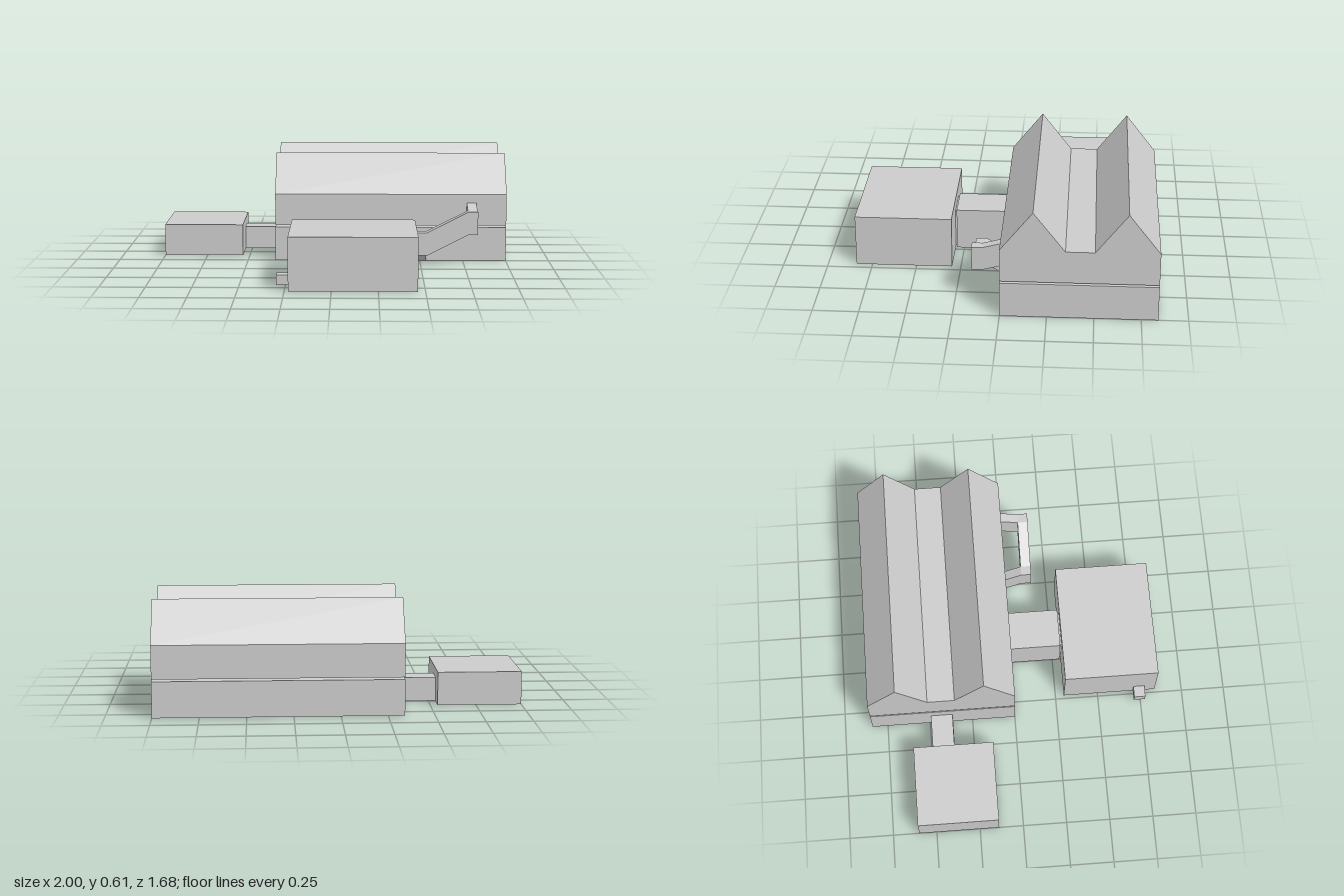
import * as THREE from 'three';

export function createModel() {
  const model = new THREE.Group();
  const material = new THREE.MeshStandardMaterial({ color: 0xcccccc, flatShading: true });

  function add(name, geometry) {
    const mesh = new THREE.Mesh(geometry, material);
    mesh.name = name;
    model.add(mesh);
  }

  // Box from ranges; lift(x, z) raises each corner to make sloped passages
  function block(name, [x0, x1], [y0, y1], [z0, z1], lift) {
    const g = new THREE.BoxGeometry(x1 - x0, y1 - y0, z1 - z0);
    g.translate((x0 + x1) / 2, (y0 + y1) / 2, (z0 + z1) / 2);
    if (lift) {
      const p = g.attributes.position;
      for (let i = 0; i < p.count; i++) p.setY(i, p.getY(i) + lift(p.getX(i), p.getZ(i)));
      g.computeVertexNormals();
    }
    add(name, g);
  }

  // Main hall: ground floor, recessed joint and twin-gabled upper floor
  block('groundFloor', [-0.34, 1], [0, 0.196], [-0.84, 0]);
  block('floorJoint', [-0.24, 0.9], [0.196, 0.208], [-0.74, -0.1]);

  const gable = new THREE.Shape([
    [0, 0.208], [0.84, 0.208], [0.84, 0.39], [0.67, 0.61],
    [0.5, 0.39], [0.345, 0.39], [0.175, 0.61], [0, 0.39],
  ].map(([x, y]) => new THREE.Vector2(x, y)));
  const upper = new THREE.ExtrudeGeometry(gable, { depth: 1.34, bevelEnabled: false });
  upper.rotateY(Math.PI / 2);
  upper.translate(-0.34, 0, 0);
  add('gabledUpperFloor', upper);

  // Front annex with its passage and side box
  block('frontAnnex', [-0.23, 0.46], [0, 0.293], [0.3, 0.84]);
  block('frontPassage', [0, 0.225], [0, 0.237], [0, 0.292]);
  block('frontPassageJoint', [0.012, 0.213], [0.01, 0.225], [0.292, 0.3]);
  block('annexSideBox', [-0.295, -0.23], [0.02, 0.075], [0.71, 0.775]);

  // Side annex with its passage
  block('sideAnnex', [-1, -0.54], [0, 0.183], [-0.6, -0.14]);
  block('sidePassage', [-0.54, -0.34], [0, 0.132], [-0.49, -0.365]);

  // Sloping passage that climbs outside the front wall between the floors
  const low = [0.48, 0.535], high = [0.77, 0.825], outer = [0.1, 0.16];
  block('lowerPassageArm', low, [0, 0.133], [0, 0.1], (x, z) => 0.6 * z);
  block('lowerPassageCorner', low, [0.06, 0.193], outer);
  block('passageRamp', [low[1], high[0]], [0.06, 0.193], outer,
    (x) => 0.12 * (x - low[1]) / (high[0] - low[1]));
  block('upperPassageCorner', high, [0.18, 0.313], outer);
  block('upperPassageArm', high, [0.207, 0.34], [0, 0.1], (x, z) => -0.27 * z);

  return model;
}
